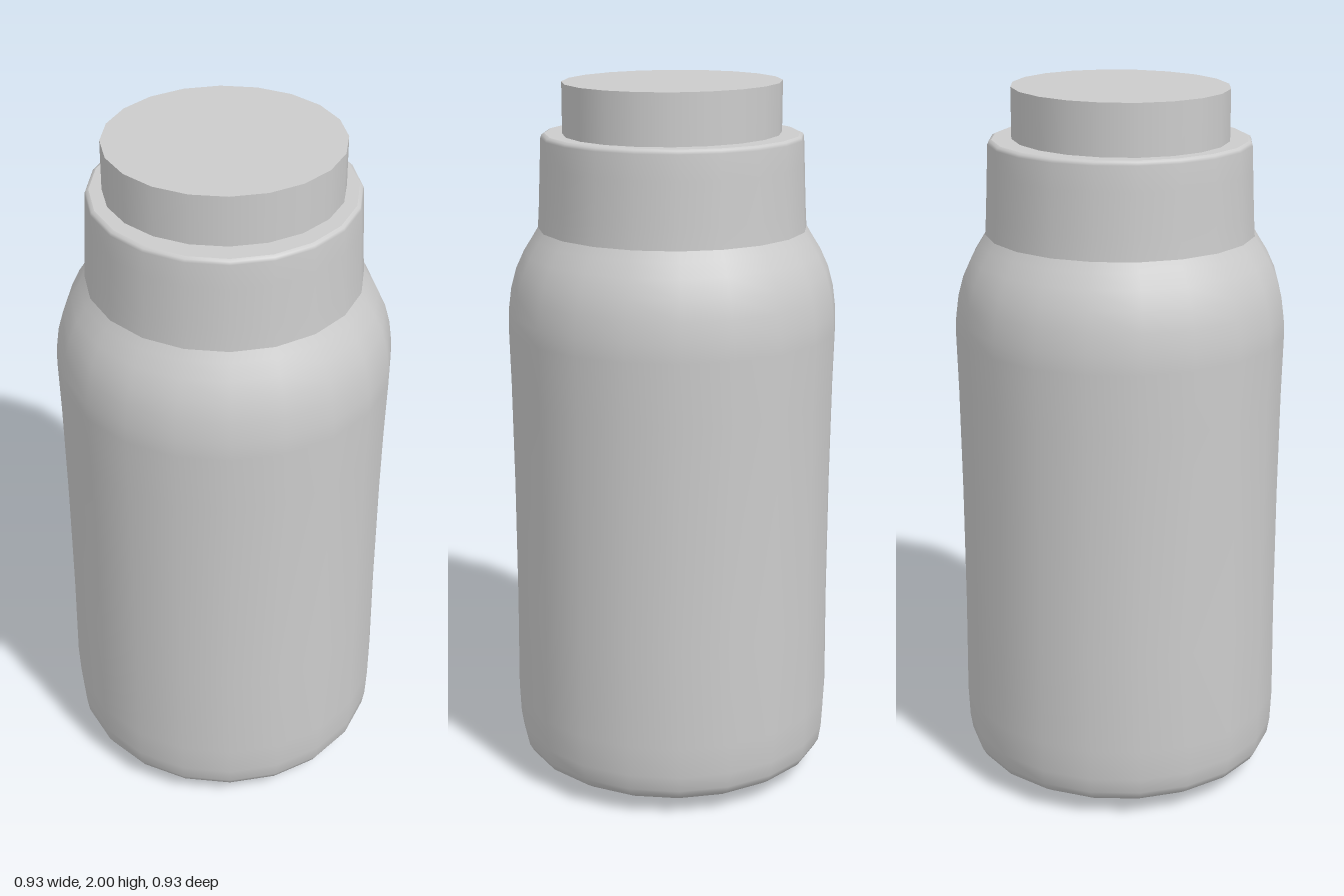
import * as THREE from 'three';

const SIDES = 20;

export function createModel() {
  const model = new THREE.Group();
  model.name = 'bottle';
  const material = new THREE.MeshStandardMaterial({ color: 0xcccccc });

  // Revolved part from [radius, height] pairs, listed bottom to top
  const addLathe = (name, profile) => {
    const points = profile.map(([r, y]) => new THREE.Vector2(r, y));
    const mesh = new THREE.Mesh(new THREE.LatheGeometry(points, SIDES), material);
    mesh.name = name;
    model.add(mesh);
    return mesh;
  };

  // Shallow domed base, slightly waisted wall and rounded shoulder
  addLathe('body', [
    [0, 0], [0.15, 0.005], [0.27, 0.014], [0.36, 0.027], [0.405, 0.042],
    [0.435, 0.062], [0.448, 0.085], [0.455, 0.13], [0.459, 0.22],
    [0.456, 0.5], [0.456, 0.85], [0.459, 1.15], [0.463, 1.32],
    [0.461, 1.37], [0.453, 1.43], [0.438, 1.485], [0.415, 1.535],
    [0.39, 1.575], [0.375, 1.6],
  ]);

  // Tapered neck collar with a small rounded rim
  addLathe('neck', [
    [0.375, 1.595], [0.371, 1.66], [0.366, 1.78], [0.363, 1.848],
    [0.36, 1.856], [0.352, 1.86],
  ]);
  addLathe('neckTop', [[0.352, 1.86], [0, 1.86]]);

  // Stopper, slightly oval
  const stopper = new THREE.Mesh(new THREE.CylinderGeometry(1, 1, 0.15, SIDES), material);
  stopper.name = 'stopper';
  stopper.scale.set(0.318, 1, 0.295);
  stopper.position.y = 1.925;
  model.add(stopper);

  return model;
}
